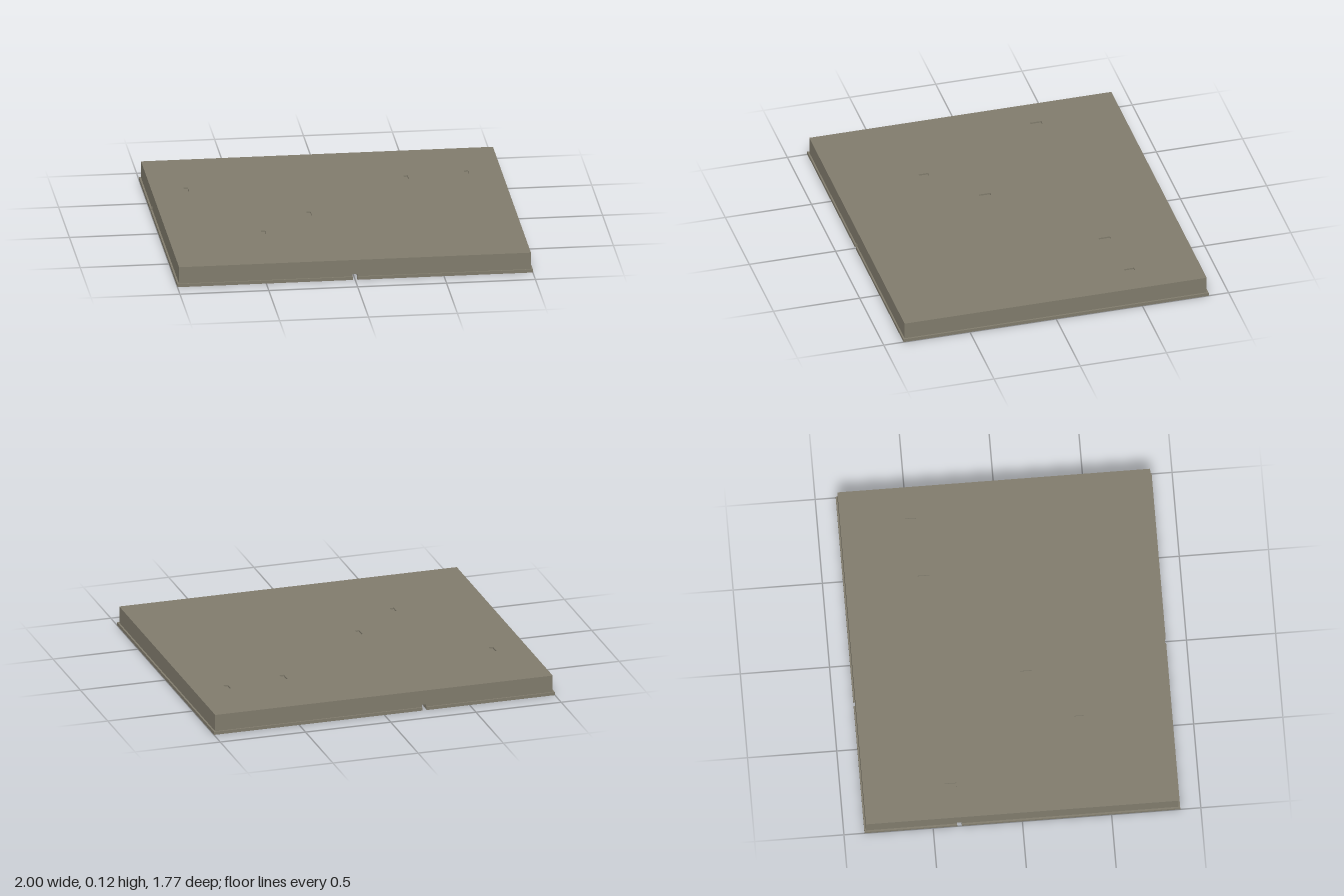
import * as THREE from 'three';

const W = 0.99, D = 0.876;           // outer half sizes of the cover
const TOP = 0.115, CEIL = 0.052;     // roof top and room ceiling heights
const DEEP = 0.1;                    // ceiling of the deep side channel
const RIM_H = 0.018, T = 0.014;      // rim height and wall thickness

export function createModel() {
  const model = new THREE.Group();
  model.name = 'roofCover';
  const stone = new THREE.MeshStandardMaterial({ color: 0x807b6c });
  stone.name = 'stone grey';

  const add = (name, geo, parent = model) => {
    const mesh = new THREE.Mesh(geo, stone);
    mesh.name = name;
    parent.add(mesh);
  };
  // box given by its two extreme corners
  const block = (name, x0, x1, y0, y1, z0, z1, parent) =>
    add(name, new THREE.BoxGeometry(x1 - x0, y1 - y0, z1 - z0)
      .translate((x0 + x1) / 2, (y0 + y1) / 2, (z0 + z1) / 2), parent);
  const outline = pts => pts.map(p => new THREE.Vector2(...p));

  // roof: a slab with small slots (x, z, half length) in its upper skin
  const skin = new THREE.Shape(outline([[-W, -D], [W, -D], [W, D], [-W, D]]));
  const slots = [[-0.795, -0.385, 0.033], [0.448, -0.437, 0.033], [0.793, -0.483, 0.028],
    [-0.162, 0.088, 0.033], [-0.452, 0.362, 0.028]];
  for (const [x, z, b] of slots) {
    const a = 0.012;
    skin.holes.push(new THREE.Path(outline(
      [[x - a, -z - b], [x - a, -z + b], [x + a, -z + b], [x + a, -z - b]])));
  }
  add('roofSkin', new THREE.ExtrudeGeometry(skin, { depth: 0.009, bevelEnabled: false })
    .rotateX(-Math.PI / 2).translate(0, TOP - 0.009, 0));
  block('ceiling', -W, 0.89, CEIL, TOP - 0.009, -D, D);
  block('channelCeiling', 0.89, W, DEEP, TOP - 0.009, -D, D);

  // outer walls and rim, with a small notch where a passage reaches the edge
  const side = (name, half, dist, rimDist, rimHalf, angle, notch) => {
    const g = new THREE.Group();
    g.name = name;
    g.rotation.y = angle;
    const n = 0.013, pts = [[-half, 0]];
    if (notch !== null) pts.push([notch - n, 0], [notch - n, 0.032], [notch + n, 0.032], [notch + n, 0]);
    pts.push([half, 0], [half, DEEP], [-half, DEEP]);
    add(name + 'Panel', new THREE.ExtrudeGeometry(
      new THREE.Shape(outline(pts)), { depth: T, bevelEnabled: false })
      .translate(0, 0, dist - T), g);
    const runs = notch === null ? [[-rimHalf, rimHalf]] : [[-rimHalf, notch - n], [notch + n, rimHalf]];
    for (const [a, b] of runs) block(name + 'Rim', a, b, 0, RIM_H, dist, rimDist, g);
    model.add(g);
  };
  side('frontWall', W, D, 0.885, 1, 0, 0);
  side('backWall', W, D, 0.885, 1, Math.PI, 0.235);
  side('leftWall', D, W, 1, 0.885, Math.PI / 2, null);
  side('rightWall', D, W, 1, 0.885, -Math.PI / 2, -0.352);

  // partitions hanging below the ceiling
  const alongZ = (x, z0, z1) => block('partition', x - T / 2, x + T / 2, 0, CEIL, z0, z1);
  const alongX = (z, x0, x1) => block('partition', x0, x1, 0, CEIL, z - T / 2, z + T / 2);
  const X = W - T, Z = D - T, GAP = 0.022;

  // long walls beside the left channel and the main rooms
  alongZ(0.883, -Z, Z);
  alongZ(0.643, -Z, Z);
  alongZ(-0.652, -0.33, 0.43);

  // narrow double-walled passages
  for (const s of [-1, 1]) {
    alongZ(0.25 + s * GAP, -Z, 0.43);
    alongZ(-0.235 + s * GAP, -Z, -0.352 - GAP);
    alongX(-0.352 + s * GAP, -X, 0.23);
  }
  alongZ(-0.24, -0.33, 0.43);

  // central rooms
  alongX(0.07, -0.235, 0.23);
  alongX(0.43, -0.652, -0.2);
  alongX(0.43, 0.23, 0.643);
  for (const x of [-0.14, -0.03, 0.09]) alongZ(x, 0.11, 0.33);
  alongX(0.36, -0.17, 0.2);

  // row of small cells along the front
  alongX(0.49, -0.645, 0.643);
  for (let i = -5; i < 5; i++) {
    const x = i * 0.13;
    alongZ(x + 0.025, 0.49, Z);
    alongZ(x + 0.105, 0.49, Z);
    alongX(0.82, x + 0.025, x + 0.105);
  }
  return model;
}
